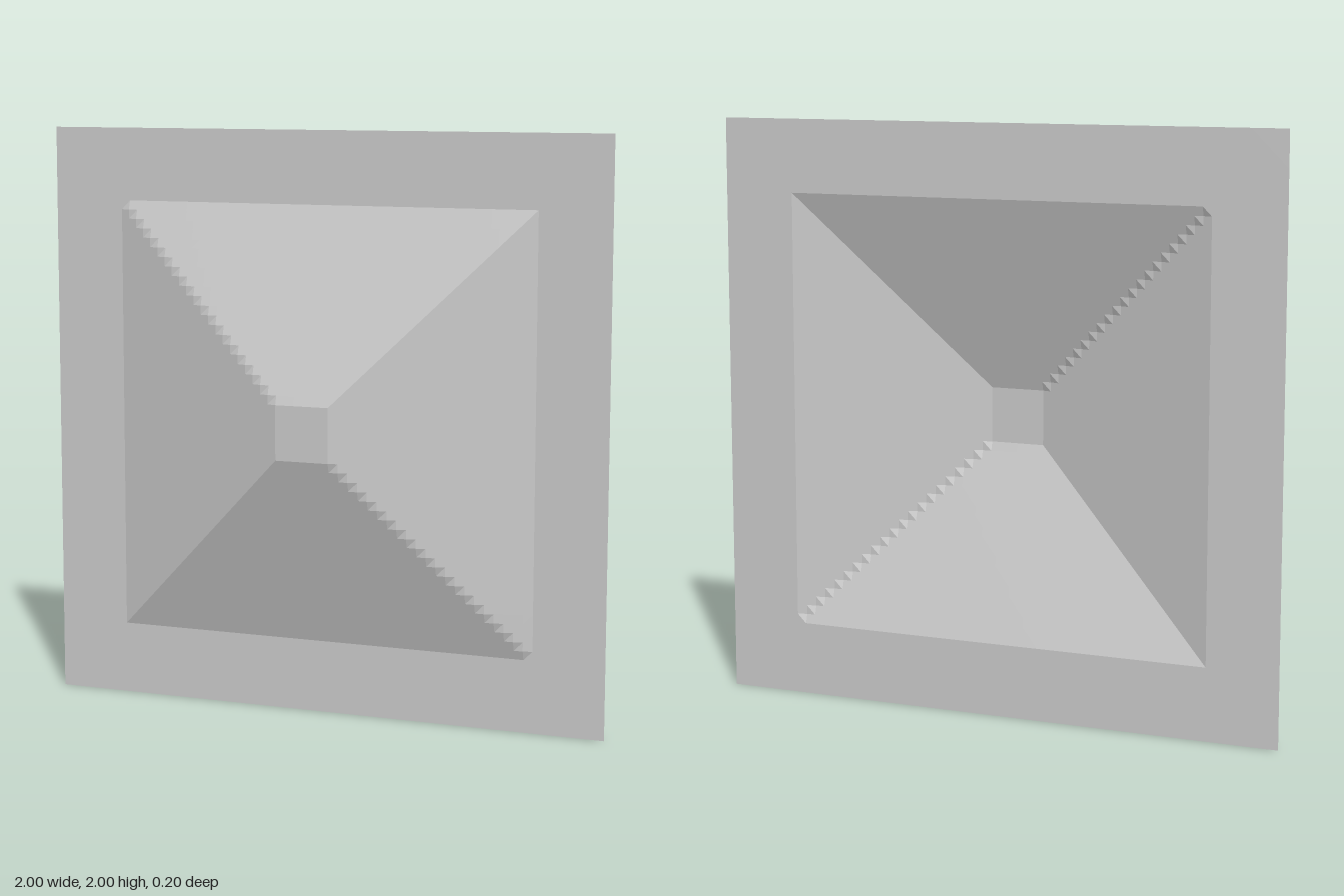
import * as THREE from 'three';

export function createModel() {
  const group = new THREE.Group();
  const grey = new THREE.MeshStandardMaterial({ color: 0xcccccc, flatShading: true, side: THREE.DoubleSide });
  grey.name = 'plain grey';

  // Upright open sheet, raised in the middle into a truncated pyramid
  const segments = 64;
  const inner = 0.094; // half width of the flat top
  const outer = 0.75; // half width of the pyramid base
  const sheet = new THREE.PlaneGeometry(2, 2, segments, segments);
  const pos = sheet.attributes.position;
  for (let i = 0; i < pos.count; i++) {
    const reach = Math.max(Math.abs(pos.getX(i)), Math.abs(pos.getY(i)));
    const rise = THREE.MathUtils.clamp((outer - reach) / (outer - inner), 0, 1);
    pos.setZ(i, -0.1 + 0.2 * rise);
  }
  sheet.translate(0, 1, 0);
  sheet.computeVertexNormals();

  const panel = new THREE.Mesh(sheet, grey);
  panel.name = 'raisedPyramidPanel';
  group.add(panel);
  return group;
}
